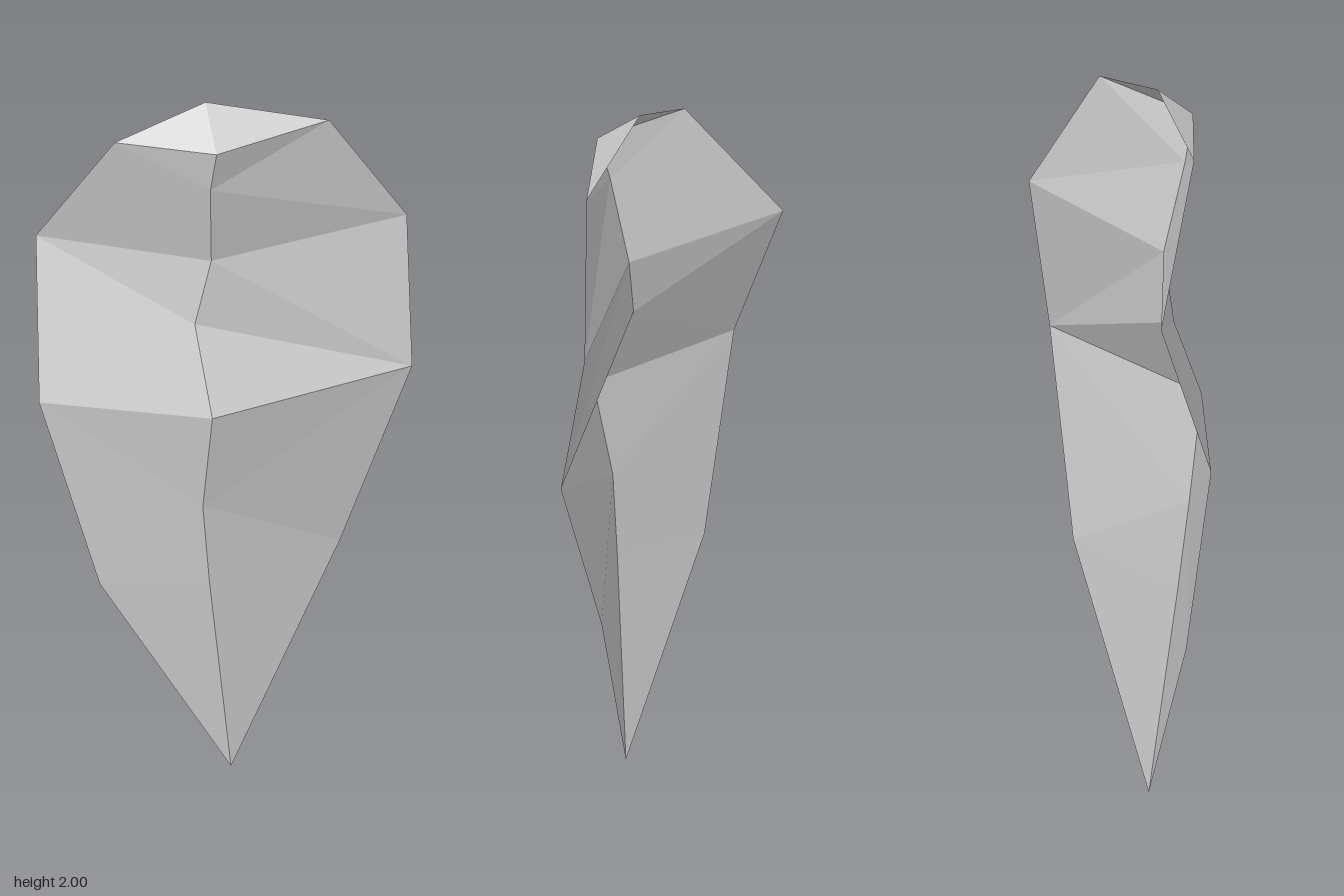
import * as THREE from 'three';

// Midrib, from the upper fold down to the pointed tip
const midrib = [
  [-0.06, 1.905, 0.18], [-0.07, 1.78, 0.148], [-0.055, 1.535, 0.09], [-0.1, 1.35, 0.093],
  [-0.075, 1.12, 0.197], [-0.09, 0.83, 0.147], [-0.068, 0.59, 0.127], [0, 0, 0.08],
];
const crown = { p: [-0.065, 2, 0.063], to: 0 };

// Rim points from the crown downwards; "to" is the last midrib point each one joins
const leftRim = [
  crown,
  { p: [0.26, 1.928, 0.1], to: 1 },
  { p: [0.484, 1.577, 0.028], to: 2 },
  { p: [0.484, 1.157, 0.094], to: 5 },
  { p: [0.3, 0.625, 0.044], to: 7 },
];
const rightRim = [
  crown,
  { p: [-0.3, 1.882, 0.02], to: 1 },
  { p: [-0.465, 1.502, -0.197], to: 3 },
  { p: [-0.487, 1.08, -0.053], to: 5 },
  { p: [-0.33, 0.53, -0.025], to: 7 },
];

// Stitch one half of the blade between its rim and the midrib
function bladeHalf(name, rim, flip, material) {
  const positions = [];
  const face = (a, b, c) => positions.push(...a, ...(flip ? c : b), ...(flip ? b : c));
  let s = 0;
  rim.forEach(({ p, to }, i) => {
    if (i > 0) face(rim[i - 1].p, midrib[s], p);
    for (; s < to; s++) face(p, midrib[s], midrib[s + 1]);
  });
  const geometry = new THREE.BufferGeometry();
  geometry.setAttribute('position', new THREE.Float32BufferAttribute(positions, 3));
  geometry.computeVertexNormals();
  const mesh = new THREE.Mesh(geometry, material);
  mesh.name = name;
  return mesh;
}

export function createModel() {
  const group = new THREE.Group();
  group.name = 'leaf';
  const material = new THREE.MeshStandardMaterial({
    color: 0xcccccc, flatShading: true, side: THREE.DoubleSide,
  });
  group.add(bladeHalf('leftBlade', leftRim, false, material));
  group.add(bladeHalf('rightBlade', rightRim, true, material));
  return group;
}
